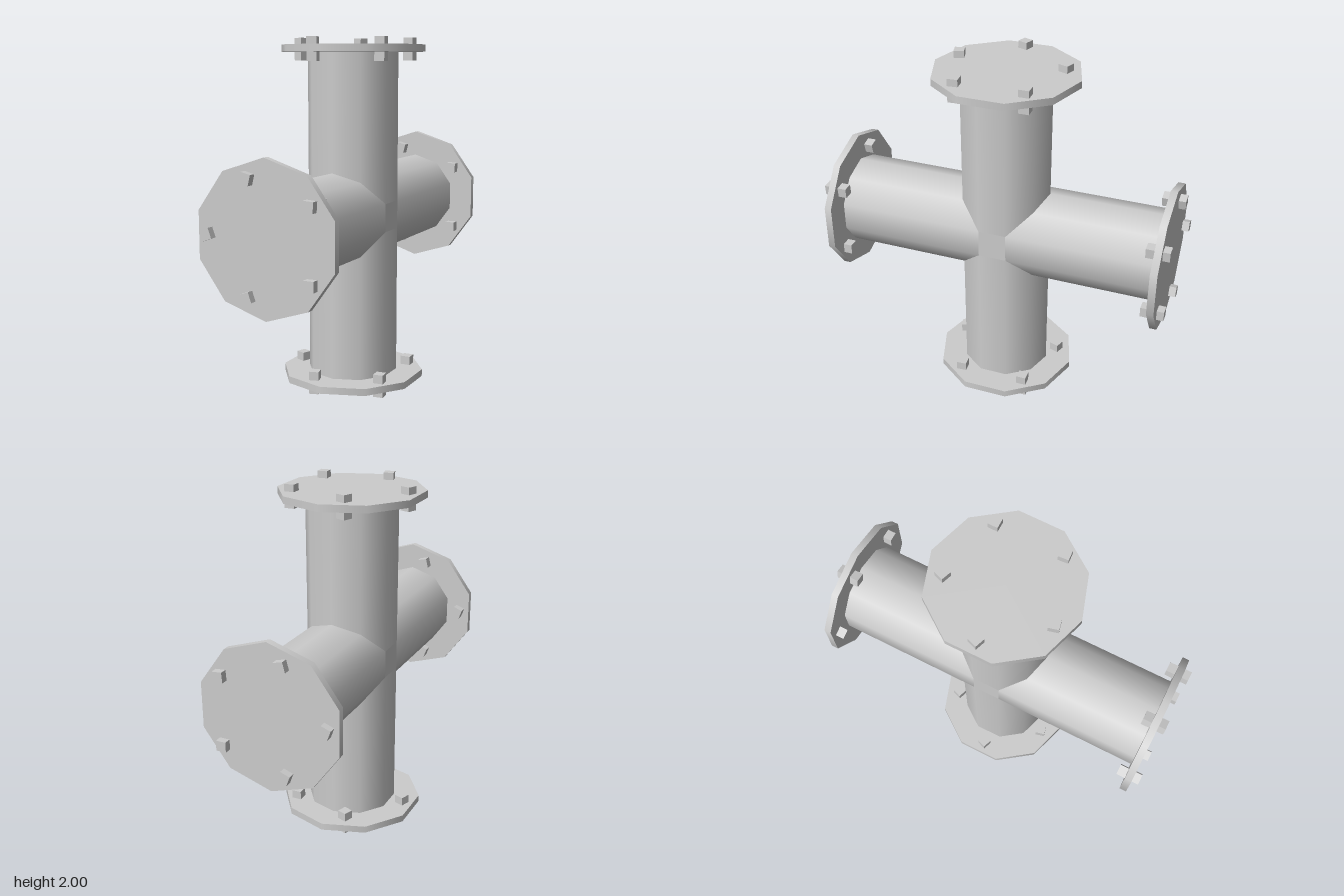
import * as THREE from 'three';

const SIDES = 10;
const PIPE_R = 0.258;
const FLANGE_R = 0.41;

// Bolt positions on a flange: x, z and twist in degrees
const BOLTS = [
  [-0.326, 0.01, 20],
  [-0.088, 0.305, -14],
  [0.265, 0.19, -4],
  [0.265, -0.195, 0],
  [-0.095, -0.295, 20],
];

// Open pipe arm along +y, its inner end mitred to meet its neighbours
function makeArmGeometry() {
  const length = 0.93;
  const geo = new THREE.CylinderGeometry(PIPE_R, PIPE_R, length, SIDES, 1, true);
  geo.translate(0, length / 2, 0);
  const pos = geo.attributes.position;
  for (let i = 0; i < pos.count; i++) {
    if (pos.getY(i) < 0.01) pos.setY(i, Math.abs(pos.getZ(i)));
  }
  return geo;
}

export function createModel() {
  const model = new THREE.Group();
  model.name = 'pipeCross';
  const steel = new THREE.MeshStandardMaterial({ color: 0xcccccc });
  steel.name = 'steel grey';

  const add = (parent, name, geo) => {
    const mesh = new THREE.Mesh(geo, steel);
    mesh.name = name;
    parent.add(mesh);
    return mesh;
  };

  const cross = new THREE.Group();
  cross.name = 'cross';
  cross.position.y = 1;
  model.add(cross);

  // Four mitred pipe arms
  const armGeo = makeArmGeometry();
  for (let i = 0; i < 4; i++) {
    add(cross, 'pipeArm', armGeo).rotation.x = i * Math.PI / 2;
  }

  // Flat patches closing the sides where the arms meet
  const half = Math.PI / SIDES;
  const patch = 2 * PIPE_R * Math.sin(half);
  add(cross, 'hub', new THREE.BoxGeometry(2 * PIPE_R * Math.cos(half), patch, patch));

  // Bolted flanges at both ends of the vertical and the horizontal run
  const flangeGeo = new THREE.CylinderGeometry(FLANGE_R, FLANGE_R, 0.04, SIDES);
  const boltGeo = new THREE.BoxGeometry(0.057, 0.13, 0.057);
  for (const [name, tilt] of [['verticalEnds', 0], ['horizontalEnds', -Math.PI / 2]]) {
    const run = new THREE.Group();
    run.name = name;
    run.rotation.x = tilt;
    cross.add(run);
    for (const side of [1, -1]) {
      add(run, 'flange', flangeGeo).position.y = side * 0.94;
      for (const [x, z, twist] of BOLTS) {
        const bolt = add(run, 'bolt', boltGeo);
        bolt.position.set(x, side * 0.935, z);
        bolt.rotation.y = -THREE.MathUtils.degToRad(twist);
      }
    }
  }
  return model;
}
